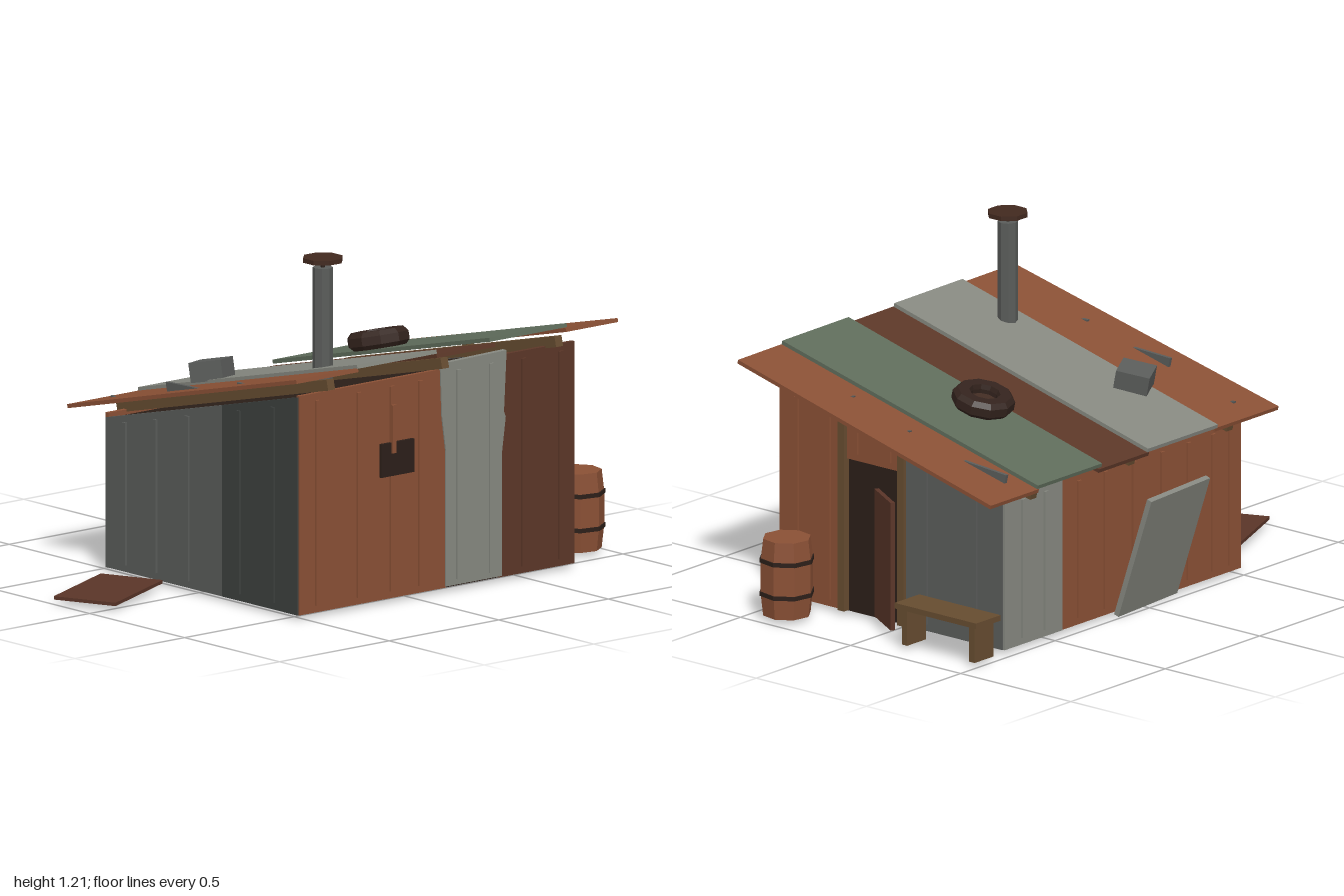
import * as THREE from 'three';

const C = { rust: 0x8a5035, brown: 0x5c3728, grey: 0x868880, dark: 0x5a5c5a, soot: 0x3c403e,
  green: 0x5f6c5b, wood: 0x664c30, black: 0x2c1f19, door: 0x5a3528 };
const SLOPE = 0.24;
const wallTop = z => 0.655 + SLOPE * z;
const roofY = z => 0.715 + SLOPE * z;

function add(parent, name, geometry, color, x = 0, y = 0, z = 0) {
  const material = new THREE.MeshStandardMaterial({ color, flatShading: true, side: THREE.DoubleSide });
  const mesh = new THREE.Mesh(geometry, material);
  mesh.name = name;
  mesh.position.set(x, y, z);
  parent.add(mesh);
  return mesh;
}
const box = (parent, name, w, h, d, color, x, y, z) =>
  add(parent, name, new THREE.BoxGeometry(w, h, d), color, x, y, z);
const plate = (pts, depth) => new THREE.ExtrudeGeometry(
  new THREE.Shape(pts.map(p => new THREE.Vector2(p[0], p[1]))), { depth, bevelEnabled: false });

function group(parent, name, x = 0, y = 0, z = 0) {
  const g = new THREE.Group();
  g.name = name;
  g.position.set(x, y, z);
  parent.add(g);
  return g;
}

// One wall sheet from u0 to u1 with raised vertical battens
function sheet(wall, name, u0, u1, top, color, battens, bottom = 0.015, depth = 0.015) {
  add(wall, name, plate([[u0, bottom], [u1, bottom], [u1, top(u1)], [u0, top(u0)]], depth), color);
  for (const u of battens) {
    const y1 = top(u) - 0.025, y0 = bottom + 0.025;
    box(wall, name + 'Batten', 0.018, y1 - y0, 0.01, color, u, (y0 + y1) / 2, depth + 0.003);
  }
}

function buildWalls(root) {
  // Dark interior block, also the floor and the doorway
  const core = plate([[-0.537, 0.012], [0.457, 0.012], [0.457, wallTop(-0.457) - 0.004],
    [-0.537, wallTop(0.537) - 0.004]], 1.24);
  add(root, 'interior', core, C.black, -0.512).rotation.y = Math.PI / 2;

  const front = group(root, 'frontWall', 0, 0, 0.535);
  sheet(front, 'frontRustSheet', -0.52, 0.15, () => 0.79, C.rust, [-0.44, -0.25, -0.1, 0.03]);
  sheet(front, 'frontBrownSheet', 0.39, 0.735, () => 0.8, C.brown, [0.5, 0.67]);
  add(front, 'frontGreySheet', plate([[0.145, 0.02], [0.4, 0.02], [0.4, 0.45], [0.418, 0.58], [0.41, 0.6],
    [0.422, 0.815], [0.12, 0.81], [0.128, 0.62], [0.145, 0.5]], 0.02), C.grey);
  for (const u of [0.2, 0.35]) box(front, 'frontGreyBatten', 0.018, 0.74, 0.01, C.grey, u, 0.41, 0.022);
  box(front, 'hatch', 0.15, 0.118, 0.012, C.black, -0.08, 0.508, 0.021);
  box(front, 'hatchStrip', 0.018, 0.17, 0.01, C.rust, -0.1, 0.615, 0.028);

  const right = group(root, 'doorWall', 0.725);
  right.rotation.y = Math.PI / 2;
  const sideTop = u => wallTop(-u);
  sheet(right, 'rustSideSheet', -0.545, -0.25, sideTop, C.rust, [-0.465, -0.32]);
  sheet(right, 'overDoorSheet', -0.25, 0.01, sideTop, C.rust, [-0.195, -0.045], 0.565);
  sheet(right, 'greySideSheet', 0.02, 0.465, sideTop, C.dark, [0.12, 0.345]);
  for (const u of [-0.255, 0.015]) box(right, 'doorPost', 0.03, 0.695, 0.03, C.wood, u, 0.362, 0.015);

  const back = group(root, 'backWall', 0, 0, -0.455);
  back.rotation.y = Math.PI;
  sheet(back, 'backGreySheet', -0.735, -0.43, () => 0.565, C.grey, [-0.64, -0.52], 0.015, 0.018);
  sheet(back, 'backRustSheet', -0.44, 0.52, () => 0.56, C.rust, [-0.34, -0.2, -0.05, 0.1, 0.24, 0.37, 0.46]);

  const left = group(root, 'plainWall', -0.51);
  left.rotation.y = -Math.PI / 2;
  sheet(left, 'leftGreySheet', -0.465, 0.15, wallTop, C.dark, [-0.36, -0.2, -0.03]);
  sheet(left, 'leftSootSheet', 0.14, 0.545, wallTop, C.soot, [0.24, 0.42]);
}

function buildRoof(root) {
  const roof = group(root, 'roof', 0, roofY(0), 0);
  roof.rotation.x = -Math.atan(SLOPE);
  // Rafters poking out at both eaves
  for (const x of [-0.42, 0.1, 0.62]) box(roof, 'rafter', 0.032, 0.038, 1.14, C.wood, x, -0.033, 0.04);

  // Tapered sheets: back left, back right, front left, front right, lift, colour
  const sheets = [[-0.625, -0.29, -0.6, -0.315, 0, C.rust], [-0.3, 0.07, -0.32, 0.045, 0.012, C.grey],
    [0.06, 0.325, 0.04, 0.31, -0.003, C.brown], [0.315, 0.655, 0.285, 0.64, 0.018, C.green],
    [0.645, 0.9, 0.63, 0.87, 0.002, C.rust]];
  for (const [bl, br, fl, fr, lift, color] of sheets)
    add(roof, 'roofSheet', plate([[fl, -0.645], [fr, -0.642], [br, 0.565], [bl, 0.565]], 0.014),
      color, 0, lift - 0.007, 0).rotation.x = -Math.PI / 2;

  // Torn metal slivers standing on the outer sheets
  for (const [x, z, len] of [[-0.5, -0.46, 0.02], [-0.5, -0.08, 0.17], [-0.5, 0.23, 0.03],
    [0.72, -0.37, 0.21], [0.73, -0.03, 0.02], [0.71, 0.25, 0.02]]) {
    const h = len > 0.1 ? 0.035 : 0.008;
    add(roof, 'tornSliver', plate([[-len / 2, 0], [len / 2, 0], [len / 2, h]], 0.012),
      C.dark, x - 0.006, 0.006, z).rotation.y = Math.PI / 2;
  }

  // Old tyre
  const ring = [[0.05, 0], [0.095, 0], [0.11, 0.015], [0.11, 0.045], [0.095, 0.062], [0.055, 0.062],
    [0.05, 0.045], [0.05, 0]].map(p => new THREE.Vector2(p[0], p[1]));
  add(roof, 'tyre', new THREE.LatheGeometry(ring, 10), 0x33231d, 0.38, 0.025, -0.06);
  add(roof, 'tyreHub', new THREE.CylinderGeometry(0.052, 0.052, 0.03, 10), 0x422c23, 0.38, 0.04, -0.06);

  // Loose block
  const block = box(roof, 'roofBlock', 0.12, 0.07, 0.12, C.dark, -0.255, 0.05, -0.21);
  block.rotation.set(0.03, 0.5, 0);
}

function buildChimney(root) {
  const chimney = group(root, 'chimney', -0.235, 0, 0.345);
  add(chimney, 'flue', new THREE.CylinderGeometry(0.035, 0.035, 0.4, 8), C.dark, 0, 0.97, 0);
  add(chimney, 'capRod', new THREE.CylinderGeometry(0.008, 0.008, 0.04, 6), C.black, 0, 1.18, 0);
  add(chimney, 'cap', new THREE.CylinderGeometry(0.072, 0.072, 0.016, 8), 0x42291f, 0, 1.198, 0)
    .rotation.y = Math.PI / 8;
}

function buildYard(root) {
  // Barrel with two hoops
  const barrel = group(root, 'barrel', 0.9, 0.015, 0.375);
  barrel.rotation.y = 0.2;
  const stave = [[0, 0], [0.085, 0], [0.094, 0.08], [0.094, 0.2], [0.085, 0.277], [0, 0.277]];
  add(barrel, 'staves', new THREE.LatheGeometry(stave.map(p => new THREE.Vector2(p[0], p[1])), 8), C.rust);
  for (const y of [0.08, 0.2])
    add(barrel, 'hoop', new THREE.CylinderGeometry(0.098, 0.098, 0.015, 8), C.black, 0, y, 0);

  // Bench
  const bench = group(root, 'bench', 0.865, 0, -0.325);
  box(bench, 'benchSeat', 0.13, 0.02, 0.37, C.wood, 0, 0.155, 0);
  for (const s of [-1, 1]) box(bench, 'benchLeg', 0.1, 0.13, 0.024, C.wood, 0, 0.08, s * 0.153);

  // Detached door leaning by the doorway
  const door = box(root, 'door', 0.178, 0.46, 0.016, C.door, 0.802, 0.26, 0.015);
  door.rotation.y = Math.atan2(0.15, 0.09);

  // Fallen plank
  const plank = box(root, 'fallenPlank', 0.37, 0.012, 0.237, C.door, -0.785, 0.026, -0.15);
  plank.rotation.set(0, 0.403, 0.015);

  // Metal sheet tilted outward at the back
  const sheetMesh = box(root, 'leaningSheet', 0.33, 0.47, 0.02, C.grey, -0.015, 0.228, -0.545);
  sheetMesh.rotation.set(-0.325, 0.05, 0);
}

export function createModel() {
  const root = new THREE.Group();
  root.name = 'shack';
  buildWalls(root);
  buildRoof(root);
  buildChimney(root);
  buildYard(root);
  return root;
}
